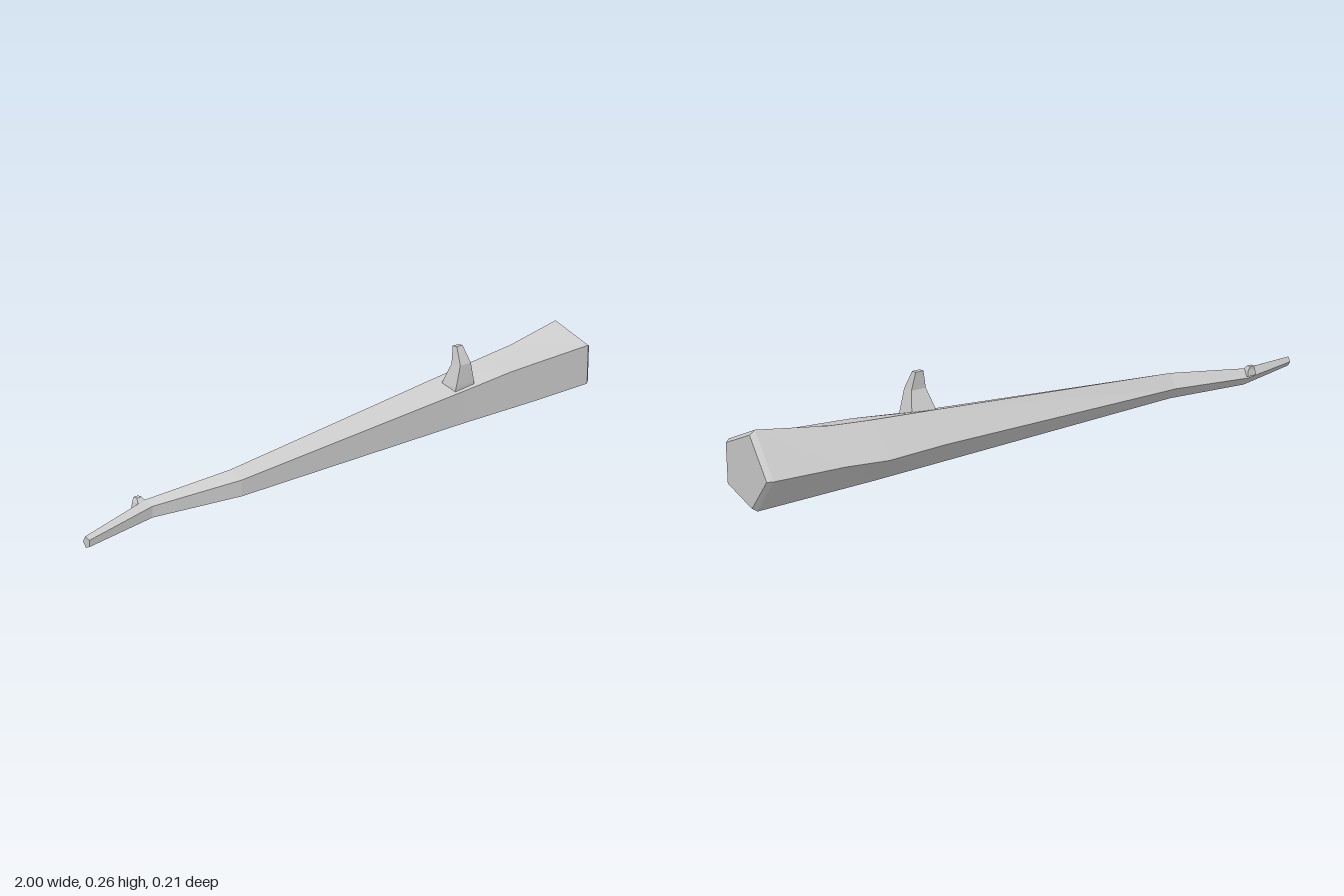
import * as THREE from 'three';

const material = new THREE.MeshStandardMaterial({ color: 0xcccccc, flatShading: true });

// Skin a row of equal-sized rings (counter-clockwise seen from the last ring's end), capped at both ends
function loft(name, rings) {
  const n = rings[0].length;
  const position = rings.flat(2);
  const index = [];
  for (let i = 0; i < rings.length - 1; i++) {
    for (let j = 0; j < n; j++) {
      const a = i * n + j;
      const b = i * n + (j + 1) % n;
      index.push(a, b, b + n, a, b + n, a + n);
    }
  }
  const last = (rings.length - 1) * n;
  for (let j = 1; j < n - 1; j++) {
    index.push(0, j + 1, j, last, last + j, last + j + 1);
  }
  const geometry = new THREE.BufferGeometry();
  geometry.setAttribute('position', new THREE.Float32BufferAttribute(position, 3));
  geometry.setIndex(index);
  const flat = geometry.toNonIndexed();
  flat.computeVertexNormals();
  const mesh = new THREE.Mesh(flat, material);
  mesh.name = name;
  return mesh;
}

// Five-sided shaft section: back and front z, top height, front shoulder height, back edge height
function pentagon([x, back, front, top, shoulder, edge]) {
  const z = (t) => back + (front - back) * t;
  return [
    [x, shoulder, front],
    [x, top * 0.18, front],
    [x, 0, z(0.4)],
    [x, edge, back],
    [x, top, z(0.38)],
  ];
}

// Rectangular spur section: height, centre x, half width, back and front z
function rectangle([y, x, half, back, front]) {
  return [
    [x + half, y, front],
    [x + half, y, back],
    [x - half, y, back],
    [x - half, y, front],
  ];
}

export function createModel() {
  const model = new THREE.Group();
  model.name = 'club';

  // Crooked tapering shaft, with a bevelled butt at the thick end
  const shaft = [
    [-1.0, 0.025, 0.05, 0.03, 0.023, 0.015],
    [-0.75, -0.04, 0.005, 0.052, 0.04, 0.025],
    [-0.48, -0.01, 0.06, 0.08, 0.06, 0.037],
    [0.42, -0.076, 0.08, 0.157, 0.128, 0.074],
    [0.62, -0.093, 0.089, 0.173, 0.147, 0.077],
    [0.76, -0.099, 0.095, 0.186, 0.154, 0.092],
    [0.985, -0.108, 0.105, 0.223, 0.165, 0.105],
  ].map(pentagon);
  const butt = shaft[shaft.length - 1].map(([, y, z]) => [
    1, 0.103 + (y - 0.103) * 0.9, z * 0.92,
  ]);
  model.add(loft('shaft', [...shaft, butt]));

  // Hooked thorn on the thick half
  model.add(loft('largeThorn', [
    [0.12, 0.43, 0.045, 0.0, 0.068],
    [0.143, 0.43, 0.041, 0.012, 0.07],
    [0.205, 0.43, 0.024, 0.036, 0.07],
    [0.257, 0.43, 0.013, 0.03, 0.046],
  ].map(rectangle)));

  // Small stub near the thin end
  model.add(loft('smallThorn', [
    [0.03, -0.765, 0.018, -0.042, -0.014],
    [0.05, -0.765, 0.014, -0.04, -0.018],
    [0.061, -0.765, 0.008, -0.042, -0.028],
  ].map(rectangle)));

  return model;
}
